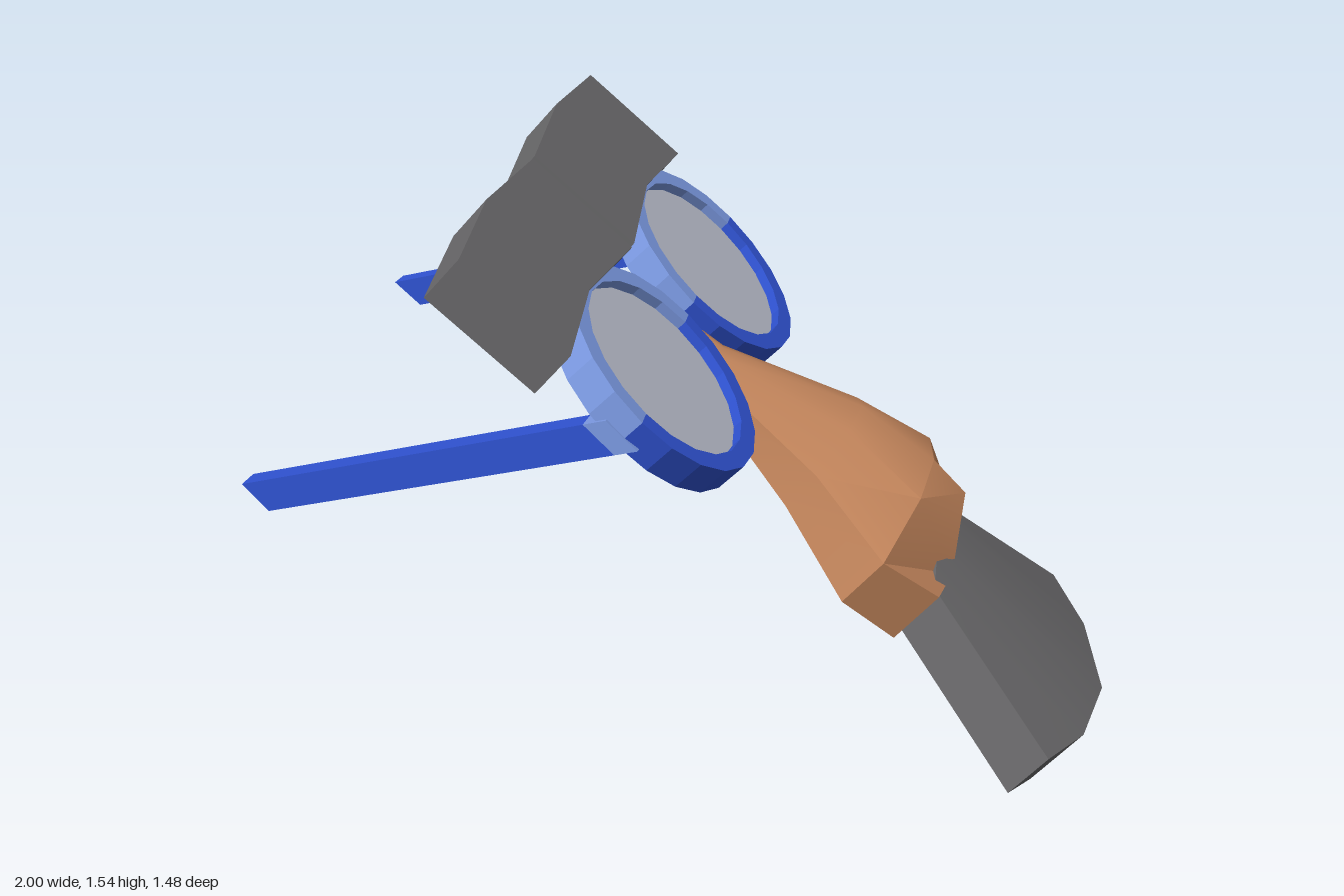
import * as THREE from 'three';
import { toCreasedNormals } from 'three/addons/utils/BufferGeometryUtils.js';

const mat = (name, color) => {
  const m = new THREE.MeshStandardMaterial({ color });
  m.name = name;
  return m;
};

// Closed slab between two grids of [x, y, z] points (rows top to bottom, columns left to right)
function slab(front, back, crease) {
  const pos = [];
  const quad = (a, b, c, d) => pos.push(...a, ...b, ...c, ...a, ...c, ...d);
  const R = front.length, C = front[0].length;
  for (let i = 0; i < R - 1; i++) {
    for (let j = 0; j < C - 1; j++) {
      quad(front[i][j], front[i + 1][j], front[i + 1][j + 1], front[i][j + 1]);
      quad(back[i][j], back[i][j + 1], back[i + 1][j + 1], back[i + 1][j]);
    }
  }
  const rim = [];
  for (let i = 0; i < R - 1; i++) rim.push([i, 0]);
  for (let j = 0; j < C - 1; j++) rim.push([R - 1, j]);
  for (let i = R - 1; i > 0; i--) rim.push([i, C - 1]);
  for (let j = C - 1; j > 0; j--) rim.push([0, j]);
  rim.forEach(([i, j], k) => {
    const [m, n] = rim[(k + 1) % rim.length];
    quad(back[i][j], back[m][n], front[m][n], front[i][j]);
  });
  const g = new THREE.BufferGeometry();
  g.setAttribute('position', new THREE.Float32BufferAttribute(pos, 3));
  g.computeVertexNormals();
  return toCreasedNormals(g, crease);
}

const polygon = (pts) => new THREE.Shape(pts.map(([x, y]) => new THREE.Vector2(x, y)));

const extrude = (shape, depth, z) =>
  new THREE.ExtrudeGeometry(shape, { depth, bevelEnabled: false }).translate(0, 0, z);

// Half of an elliptical ring, from angle a0 over half a turn
function halfRing(a0) {
  const pts = [], N = 10;
  for (let i = 0; i <= N; i++) {
    const t = a0 + (Math.PI * i) / N;
    pts.push([0.325 * Math.cos(t), 0.285 * Math.sin(t)]);
  }
  for (let i = N; i >= 0; i--) {
    const t = a0 + (Math.PI * i) / N;
    pts.push([0.275 * Math.cos(t), 0.24 * Math.sin(t)]);
  }
  return extrude(polygon(pts), 0.08, -0.08);
}

export function createModel() {
  const blue = mat('frame blue', 0x2f52d0);
  const paleBlue = mat('pale blue', 0x7a98e0);
  const glass = mat('lens grey', 0xb6bac8);
  const skin = mat('nose tan', 0xc0835a);
  const hair = mat('hair grey', 0x69686a);

  const model = new THREE.Group();
  const add = (parent, name, geometry, material) => {
    const m = new THREE.Mesh(geometry, material);
    m.name = name;
    parent.add(m);
    return m;
  };

  // The face lies in a plane leaning back and rolled slightly sideways
  const lean = THREE.MathUtils.degToRad(42), roll = 0.1;
  const side = new THREE.Vector3(0, 0, -1);
  const up = new THREE.Vector3(-Math.cos(lean), Math.sin(lean), 0);
  const out = new THREE.Vector3(Math.sin(lean), Math.cos(lean), 0);
  side.applyAxisAngle(out, roll);
  up.applyAxisAngle(out, roll);
  const face = new THREE.Group();
  face.name = 'face';
  face.quaternion.setFromRotationMatrix(new THREE.Matrix4().makeBasis(side, up, out));
  face.position.copy(side).multiplyScalar(0.13);
  model.add(face);

  // Nose: [y, half width, side depth, mid depth, ridge depth, back depth]
  const rows = [
    [0.885, 0.05, 0.74, 0.765, 0.77, 0.71],
    [0.63, 0.075, 0.75, 0.785, 0.795, 0.71],
    [0.29, 0.21, 0.79, 0.89, 0.92, 0.68],
    [0.068, 0.37, 0.803, 0.91, 0.94, 0.66],
  ];
  const front = rows.map(([y, w, s, m, r]) =>
    [[-w, y, s], [-w * 0.48, y, m], [0, y, r], [w * 0.48, y, m], [w, y, s]]);
  const back = rows.map(([y, w, , , , b]) =>
    [-1, -0.48, 0, 0.48, 1].map((k) => [k * w, y, b]));
  // Nostrils and the notch between them
  const base = [[-0.32, -0.098, 0.81], [-0.143, -0.133, 0.805], [0, -0.047, 0.93],
    [0.088, -0.126, 0.81], [0.255, -0.086, 0.81]];
  front.push(base);
  back.push(base.map(([x, y]) => [x, y, 0.655]));
  add(face, 'nose', slab(front, back, 0.6), skin);

  // Moustache: a fan, thickest in the middle; [x, y, front depth, back depth]
  const fan = [
    [[-0.275, -0.09, 0.8, 0.67], [-0.14, -0.06, 0.83, 0.675], [-0.01, -0.03, 0.85, 0.68],
      [0.1, -0.06, 0.83, 0.675], [0.19, -0.09, 0.8, 0.67]],
    [[-0.475, -0.518, 0.75, 0.616], [-0.285, -0.607, 0.775, 0.595], [-0.01, -0.658, 0.788, 0.577],
      [0.275, -0.607, 0.775, 0.595], [0.465, -0.518, 0.75, 0.616]],
  ];
  add(face, 'moustache', slab(
    fan.map((r) => r.map(([x, y, f]) => [x, y, f])),
    fan.map((r) => r.map(([x, y, , b]) => [x, y, b])), 0.5), hair);

  for (const s of [-1, 1]) {
    const label = s < 0 ? 'left' : 'right';

    // Eyebrow: a slightly bent block
    const brow = polygon([[0.01, 1.274], [0.38, 1.305], [0.72, 1.278],
      [0.72, 0.97], [0.38, 1.003], [0.015, 0.962]].map(([x, y]) => [s * x - 0.028, y]));
    add(face, label + 'Eyebrow', extrude(brow, 0.12, 0.729), hair);

    // Rim in two colours with a flat lens
    const eye = new THREE.Group();
    eye.name = label + 'Eyepiece';
    eye.position.set(s * 0.365, 0.753, 0.815);
    eye.rotation.x = 0.07;
    face.add(eye);
    add(eye, 'upperRim', halfRing(0), paleBlue);
    add(eye, 'lowerRim', halfRing(Math.PI), blue);
    const lens = new THREE.CylinderGeometry(1, 1, 0.02, 20).rotateX(Math.PI / 2)
      .scale(0.28, 0.245, 1).translate(0, 0, -0.035);
    add(eye, 'lens', lens, glass);
  }

  // Temple arms: slanted bars with a pale section at the hinge
  const arm = (label, tipTop, tipLow, hingeLow, hingeTop, z, split) => {
    const mix = (a, b) => [a[0] + (b[0] - a[0]) * split, a[1] + (b[1] - a[1]) * split];
    const top = mix(hingeTop, tipTop), low = mix(hingeLow, tipLow);
    add(model, label + 'Arm', extrude(polygon([tipTop, tipLow, low, top]), 0.065, z), blue);
    add(model, label + 'Hinge', extrude(polygon([top, low, hingeLow, hingeTop]), 0.065, z), paleBlue);
  };
  arm('right', [-1, 0.94], [-0.93, 0.88], [-0.06, 1.095], [-0.14, 1.16], -0.735, 0.3);
  arm('left', [-0.9, 0.85], [-0.84, 0.79], [0.02, 1.005], [-0.05, 1.07], 0.572, 0.06);

  return model;
}
